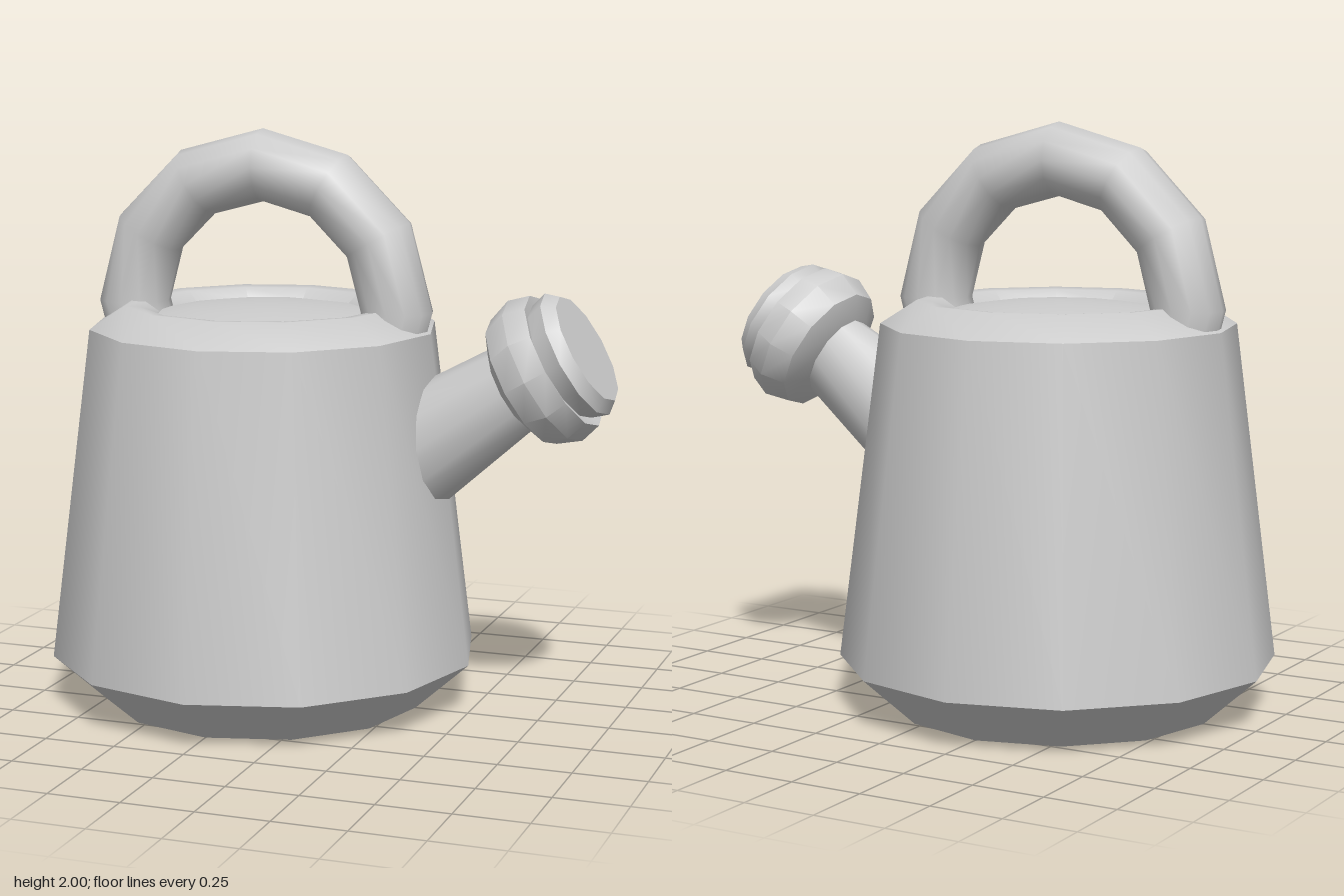
import * as THREE from 'three';
import { toCreasedNormals } from 'three/addons/utils/BufferGeometryUtils.js';

const material = new THREE.MeshStandardMaterial({ color: 0xcccccc });
const SIDES = 12;
const CREASE = 0.7;

function part(name, geometry, parent) {
  const mesh = new THREE.Mesh(geometry, material);
  mesh.name = name;
  parent.add(mesh);
  return mesh;
}

// Twelve-sided turned part from [radius, height] pairs, bottom to top
function turned(profile) {
  const points = profile.map(([r, y]) => new THREE.Vector2(r, y));
  return toCreasedNormals(new THREE.LatheGeometry(points, SIDES), CREASE);
}

export function createModel() {
  const can = new THREE.Group();
  can.name = 'wateringCan';
  const centreX = -0.25;

  // Tapered tank with bevelled foot, shoulder and rolled rim
  part('tank', turned([
    [0, 0], [0.56, 0], [0.75, 0.17], [0.605, 1.32],
    [0.48, 1.4], [0.43, 1.395], [0.385, 1.36], [0.375, 1.32],
  ]), can).position.x = centreX;

  // Shallow domed lid sitting inside the rim
  part('lid', turned([
    [0.385, 1.33], [0.375, 1.365], [0.25, 1.385], [0.12, 1.395], [0, 1.4],
  ]), can).position.x = centreX;

  // Arched handle whose ends sink into the shoulder
  const arch = new THREE.TorusGeometry(0.485, 0.125, 12, 8, Math.PI * 4 / 3);
  arch.rotateZ(-Math.PI / 6);
  part('handle', arch, can).position.set(centreX, 1.39, 0);

  // Spout assembly: local y runs along the spout, origin at the rose face
  const spout = new THREE.Group();
  spout.name = 'spout';
  spout.position.set(0.9, 1.3, 0);
  spout.rotation.z = -Math.PI / 3;
  can.add(spout);

  // Neck widens and drops towards the tank
  const neck = new THREE.CylinderGeometry(1, 1, 0.58, SIDES);
  neck.translate(0, -0.56, 0);
  const pos = neck.attributes.position;
  for (let i = 0; i < pos.count; i++) {
    const t = (-0.27 - pos.getY(i)) / 0.58;
    pos.setX(i, pos.getX(i) * (0.15 + 0.07 * t) + 0.05 * t);
    pos.setZ(i, pos.getZ(i) * (0.14 + 0.035 * t));
  }
  part('spoutNeck', toCreasedNormals(neck, CREASE), spout);

  // Rounded rose with a groove and a flat face
  part('rose', turned([
    [0, -0.29], [0.16, -0.29], [0.235, -0.25], [0.265, -0.165],
    [0.245, -0.09], [0.21, -0.1], [0.228, -0.04], [0.195, 0], [0, 0],
  ]), spout);

  return can;
}
